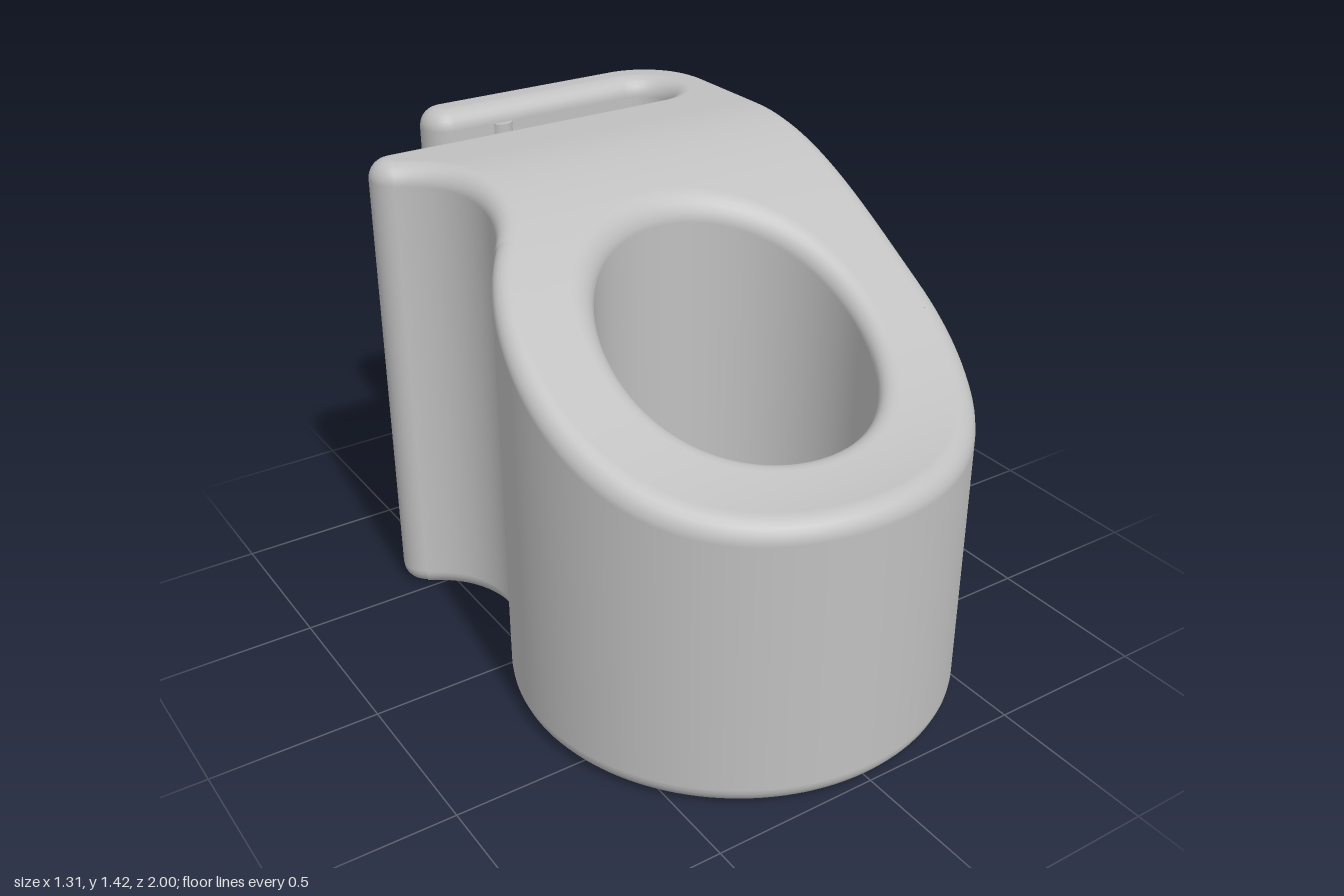
import * as THREE from 'three';

const R = 0.06; // rounded edge radius
const PI = Math.PI;

// Height of the top: a half-cosine ramp from the low front to the high back
const ramp = z => THREE.MathUtils.clamp((0.97 - z) / 1.4, 0, 1);
const height = z => 0.88 + 0.545 * (1 - Math.cos(PI * ramp(z))) / 2;
const slope = z => -0.545 * PI / 2.8 * Math.sin(PI * ramp(z));

// Adds an arc of plan points with normals; side = -1 for a hollow arc
function arc(pts, cx, cz, r, a0, a1, side = 1) {
  const n = Math.max(16, Math.ceil(Math.abs(a1 - a0) * r / 0.03));
  for (let i = 0; i <= n; i++) {
    const a = a0 + (a1 - a0) * i / n, c = Math.cos(a), s = Math.sin(a);
    pts.push({ x: cx + r * c, z: cz + r * s, nx: side * c, nz: side * s });
  }
}

// Adds evenly spaced points on a straight wall from the last point
function line(pts, x, z) {
  const p = pts[pts.length - 1];
  const n = Math.ceil(Math.hypot(x - p.x, z - p.z) / 0.04);
  for (let i = 1; i < n; i++) {
    const t = i / n;
    pts.push({ x: p.x + (x - p.x) * t, z: p.z + (z - p.z) * t, nx: p.nx, nz: p.nz });
  }
}

// Plan outline: clip arm, rounded corner, ring, thumb hollow, lug and slot
function outline() {
  const p = [];
  arc(p, -0.225, -0.9225, 0.0775, PI / 2, 1.5 * PI);
  line(p, 0.4, -1);
  arc(p, 0.405, -0.75, 0.25, -PI / 2, 0);
  line(p, 0.655, 0.345);
  arc(p, 0, 0.345, 0.655, 0, 2 * PI + Math.atan2(-0.59, -0.72));
  arc(p, -0.72, -0.25, 0.275, Math.atan2(0.59, 0.72), Math.atan2(-0.32, 0.16), -1);
  arc(p, -0.56, -0.57, 0.075, Math.atan2(0.32, -0.16), 1.5 * PI);
  // the slot wall faces the back
  line(p, 0.395, -0.645);
  arc(p, 0.395, -0.745, 0.1, PI / 2, -PI / 2, -1);
  line(p, -0.225, -0.845);
  return p;
}

// Keeps the part of a plan polygon where sign * (z - limit) >= 0
function clip(poly, limit, sign) {
  const out = [];
  poly.forEach((a, i) => {
    const b = poly[(i + 1) % poly.length];
    const da = sign * (a.y - limit), db = sign * (b.y - limit);
    if (da >= 0) out.push(a);
    if (da * db < 0) out.push(a.clone().lerp(b, da / (da - db)));
  });
  return out;
}

function bodyGeometry() {
  const pos = [], nor = [], idx = [];
  const add = (x, y, z, nx, ny, nz) => {
    const n = new THREE.Vector3(nx, ny, nz).normalize();
    pos.push(x, y, z);
    nor.push(n.x, n.y, n.z);
    return pos.length / 3 - 1;
  };

  // Walls with rounded bottom and top edges
  const wall = pts => {
    const steps = 6, rows = [];
    for (let top = 0; top < 2; top++) {
      for (let k = 0; k <= steps; k++) {
        const a = (top ? k / steps : k / steps - 1) * PI / 2;
        const c = Math.cos(a), s = Math.sin(a);
        rows.push(pts.map(p => {
          const x = p.x - p.nx * R * (1 - c), z = p.z - p.nz * R * (1 - c);
          const y = (top ? height(z) - R : R) + R * s;
          return add(x, y, z, p.nx * c, s, p.nz * c - (top ? slope(z) * s : 0));
        }));
      }
    }
    for (let j = 0; j < rows.length - 1; j++) {
      for (let i = 0; i < pts.length; i++) {
        const n = (i + 1) % pts.length;
        const a = rows[j][i], b = rows[j + 1][i], c = rows[j][n], d = rows[j + 1][n];
        idx.push(a, b, c, c, b, d);
      }
    }
  };

  const outer = outline(), hole = [];
  arc(hole, 0, 0.345, 0.386, 2 * PI, 0, -1);
  hole.pop();
  wall(outer);
  wall(hole);

  // Flat base and ramped top, the top cut into strips along z
  const inset = pts => pts.map(p => new THREE.Vector2(p.x - p.nx * R, p.z - p.nz * R));
  const o = inset(outer), h = inset(hole), all = [...o, ...h];
  const step = 0.04;
  for (const tri of THREE.ShapeUtils.triangulateShape(o, [h])) {
    const t = tri.map(i => all[i]);
    idx.push(...t.map(p => add(p.x, 0, p.y, 0, -1, 0)));
    const zs = t.map(p => p.y);
    const first = Math.floor(Math.min(...zs) / step), last = Math.floor(Math.max(...zs) / step);
    for (let k = first; k <= last; k++) {
      const poly = clip(clip(t, k * step, 1), (k + 1) * step, -1);
      const v = poly.map(p => add(p.x, height(p.y), p.y, 0, 1, -slope(p.y)));
      for (let i = 1; i < v.length - 1; i++) idx.push(v[0], v[i + 1], v[i]);
    }
  }

  const g = new THREE.BufferGeometry();
  g.setAttribute('position', new THREE.Float32BufferAttribute(pos, 3));
  g.setAttribute('normal', new THREE.Float32BufferAttribute(nor, 3));
  g.setIndex(idx);
  return g;
}

export function createModel() {
  const group = new THREE.Group();
  group.name = 'clipHolder';
  const grey = new THREE.MeshStandardMaterial({ color: 0xc0c0c0 });
  grey.name = 'light grey';

  const body = new THREE.Mesh(bodyGeometry(), grey);
  body.name = 'body';
  group.add(body);

  // Gripping ribs on the two slot walls
  const ribs = [['slotWallRib', -0.335, -0.63], ['armRib', -0.06, -0.86]];
  for (const [name, x, z] of ribs) {
    const rib = new THREE.Mesh(new THREE.CylinderGeometry(0.036, 0.036, 1.305, 24), grey);
    rib.name = name;
    rib.position.set(x, 0.7125, z);
    group.add(rib);
  }
  return group;
}
